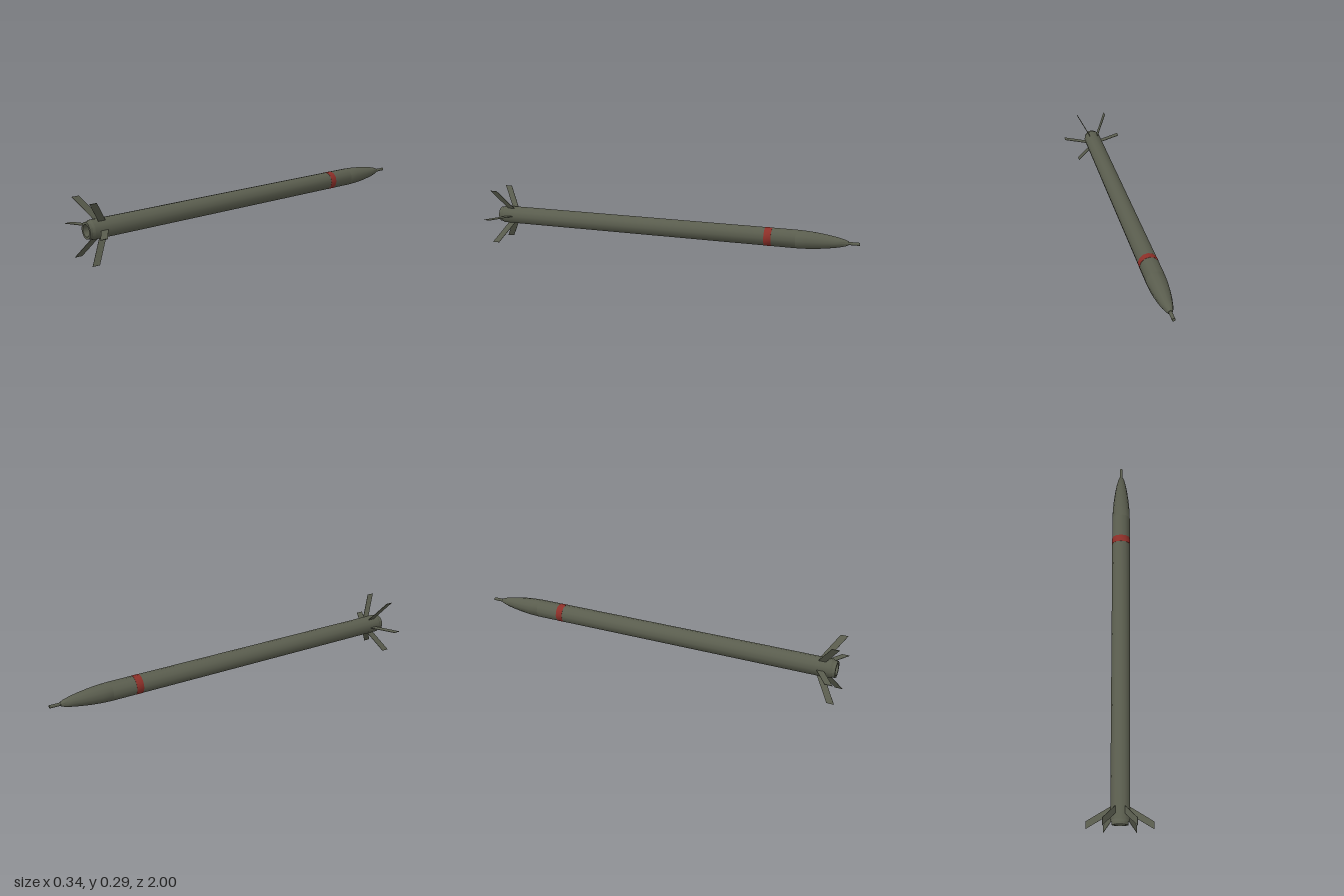
import * as THREE from 'three';
import { toCreasedNormals } from 'three/addons/utils/BufferGeometryUtils.js';

const AXIS_Y = 0.147, R = 0.048, SIDES = 12;

export function createModel() {
  const olive = new THREE.MeshStandardMaterial({ color: 0x5a5d4e });
  olive.name = 'olive';
  const red = new THREE.MeshStandardMaterial({ color: 0x8c2f28 });
  red.name = 'bandRed';

  const rocket = new THREE.Group();
  rocket.name = 'rocket';
  rocket.position.y = AXIS_Y;

  // Turned part along z; profile points are [radius, z], nose first
  const turned = (name, profile, material) => {
    const points = profile.map(([r, z]) => new THREE.Vector2(r, z));
    const geometry = new THREE.LatheGeometry(points, SIDES).rotateX(Math.PI / 2);
    const mesh = new THREE.Mesh(toCreasedNormals(geometry, 0.6), material);
    mesh.name = name;
    rocket.add(mesh);
  };

  turned('fuseProbe', [[0, -1], [0.008, -1], [0.008, -0.94]], olive);
  turned('noseCone', [[0, -0.948], [0.01, -0.946], [0.017, -0.93], [0.026, -0.895],
    [0.034, -0.85], [0.041, -0.8], [0.046, -0.745], [R, -0.69]], olive);
  turned('bodyTube', [[R, -0.69], [R, 0.955]], olive);
  turned('warningBand', [[R, -0.567], [R + 0.0006, -0.567],
    [R + 0.0006, -0.53], [R, -0.53]], red);

  // Stepped tail with a hollow nozzle
  turned('nozzle', [[R, 0.955], [0.042, 0.966], [0.042, 0.98], [0.03, 0.98],
    [0.024, 0.93], [0, 0.93]], olive);

  // Six swept fins around the tail
  const outline = new THREE.Shape([[0.042, 0.888], [0.168, 0.963], [0.168, 1], [0.042, 0.925]]
    .map(([r, z]) => new THREE.Vector2(r, z)));
  const thickness = 0.0025;
  const finGeometry = new THREE.ExtrudeGeometry(outline, { depth: thickness, bevelEnabled: false });
  finGeometry.translate(0, 0, -thickness / 2).rotateX(Math.PI / 2);
  for (let i = 0; i < 6; i++) {
    const fin = new THREE.Mesh(finGeometry, olive);
    fin.name = 'tailFin' + (i + 1);
    fin.rotation.z = i * Math.PI / 3;
    rocket.add(fin);
  }

  const model = new THREE.Group();
  model.name = 'model';
  model.add(rocket);
  return model;
}
